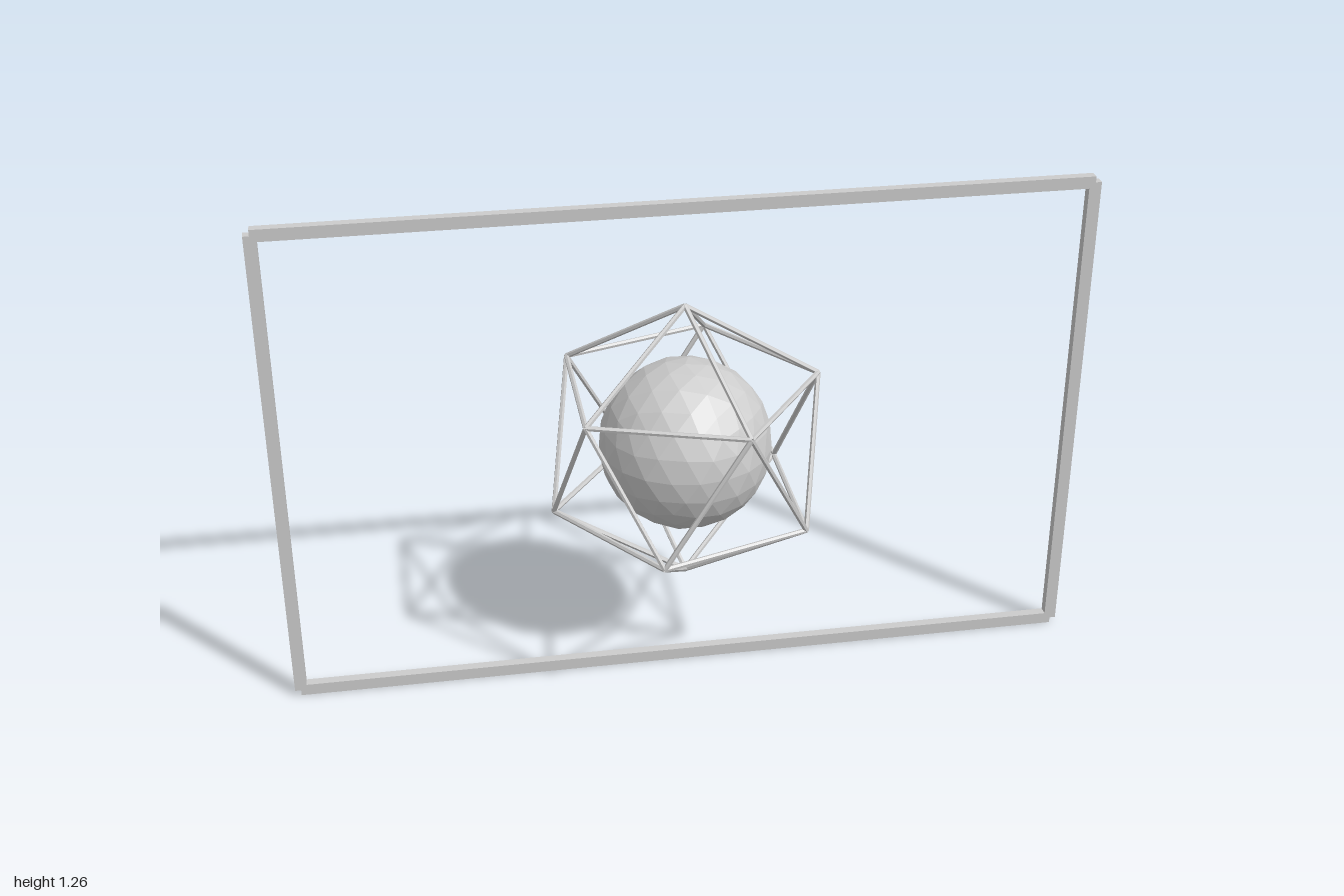
import * as THREE from 'three';

const CENTER_Y = 0.6325;

export function createModel() {
  const model = new THREE.Group();
  model.name = 'framedCage';
  const grey = new THREE.MeshStandardMaterial({ color: 0xcccccc });
  grey.name = 'light grey';
  grey.flatShading = true;

  const add = (parent, name, geometry, x = 0, y = 0, z = 0) => {
    const mesh = new THREE.Mesh(geometry, grey);
    mesh.name = name;
    mesh.position.set(x, y, z);
    parent.add(mesh);
    return mesh;
  };

  // Icosahedron turned so that one corner points straight up
  const tilt = -Math.atan(2 / (1 + Math.sqrt(5)));
  const icosahedron = (radius, detail) =>
    new THREE.IcosahedronGeometry(radius, detail).rotateZ(tilt);

  // Rectangular outer frame; bars end at the centre lines of their neighbours
  const frame = new THREE.Group();
  frame.name = 'outerFrame';
  const bar = 0.03, depth = 0.024, halfW = 0.985, halfH = 0.6175;
  for (const s of [-1, 1]) {
    add(frame, s > 0 ? 'topBar' : 'bottomBar',
      new THREE.BoxGeometry(2 * halfW, bar, depth), 0, CENTER_Y + s * halfH);
    add(frame, s > 0 ? 'leftBar' : 'rightBar',
      new THREE.BoxGeometry(bar, 2 * halfH, depth), s * halfW, CENTER_Y);
  }
  model.add(frame);

  // Faceted core
  add(model, 'coreSphere', icosahedron(0.2135, 3), 0, CENTER_Y);

  // Cage: one thin strut along each edge of the icosahedron
  const cage = new THREE.Group();
  cage.name = 'cage';
  cage.position.y = CENTER_Y;
  const edges = new THREE.EdgesGeometry(icosahedron(0.367, 0)).attributes.position;
  const up = new THREE.Vector3(0, 1, 0);
  for (let i = 0; i < edges.count; i += 2) {
    const a = new THREE.Vector3().fromBufferAttribute(edges, i);
    const b = new THREE.Vector3().fromBufferAttribute(edges, i + 1);
    const along = b.clone().sub(a);
    const strut = add(cage, 'cageStrut',
      new THREE.CylinderGeometry(0.0065, 0.0065, along.length(), 6));
    strut.position.copy(a).add(b).multiplyScalar(0.5);
    strut.quaternion.setFromUnitVectors(up, along.normalize());
  }
  model.add(cage);

  return model;
}
